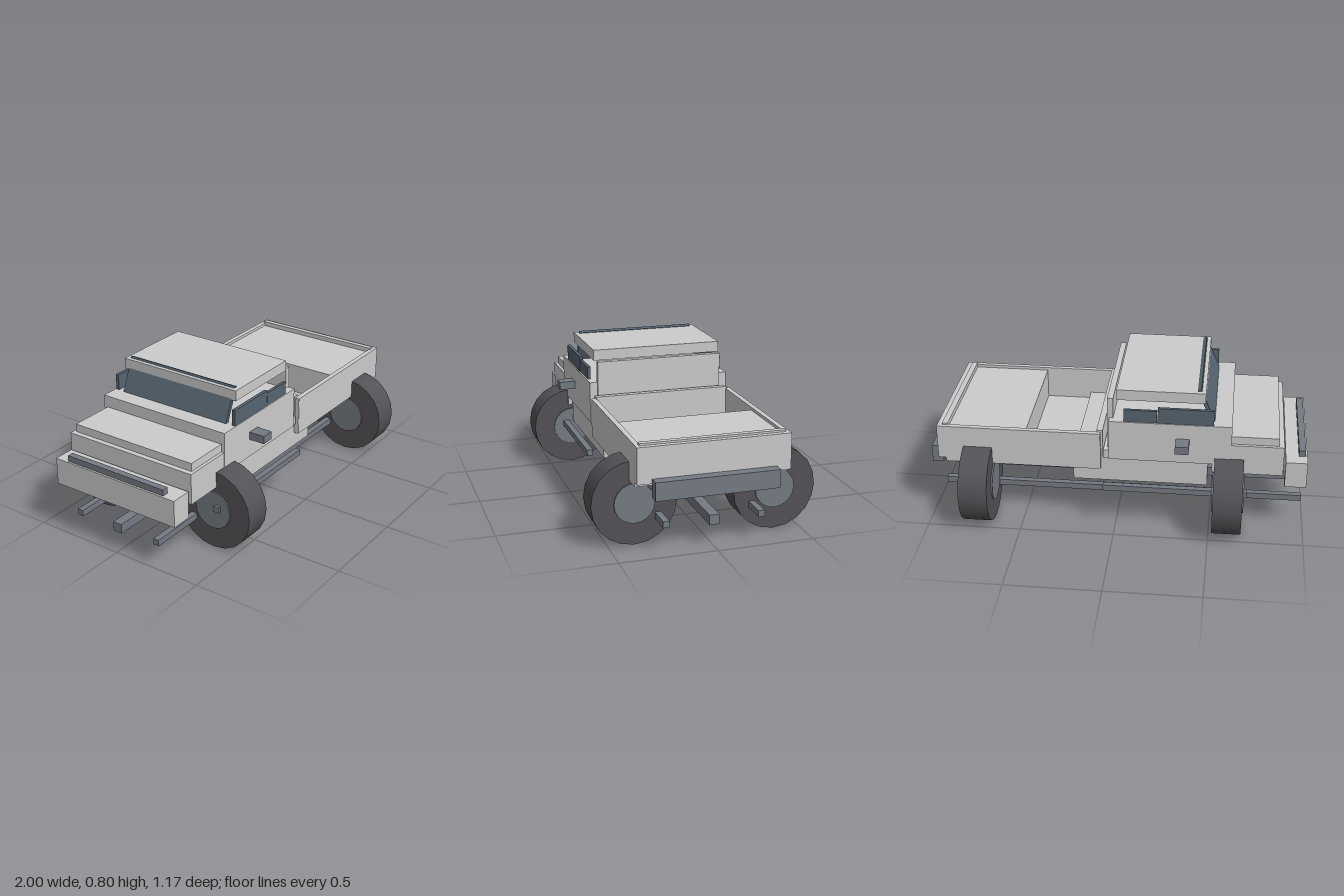
import * as THREE from 'three';

const paint = new THREE.MeshStandardMaterial({ color: 0xcccccc });
const rubber = new THREE.MeshStandardMaterial({ color: 0x545257 });
const metal = new THREE.MeshStandardMaterial({ color: 0x767a83 });
const glass = new THREE.MeshStandardMaterial({ color: 0x566470 });

export function createModel() {
  const model = new THREE.Group();
  model.name = 'pickupTruck';

  const add = (name, geometry, material, x, y, z) => {
    const mesh = new THREE.Mesh(geometry, material);
    mesh.name = name;
    mesh.position.set(x, y, z);
    model.add(mesh);
    return mesh;
  };
  // box from its limits on each axis
  const block = (name, [x0, x1], [y0, y1], [z0, z1], material = paint) =>
    add(name, new THREE.BoxGeometry(x1 - x0, y1 - y0, z1 - z0), material,
      (x0 + x1) / 2, (y0 + y1) / 2, (z0 + z1) / 2);
  // box centred across the width
  const wide = (name, xs, ys, half, material) => block(name, xs, ys, [-half, half], material);

  // nose
  wide('hoodBase', [-0.875, -0.505], [0.35, 0.515], 0.384);
  wide('hoodTop', [-0.848, -0.6], [0.515, 0.558], 0.367);
  wide('frontBumper', [-1, -0.887], [0.28, 0.425], 0.375);
  wide('bumperBar', [-0.99, -0.955], [0.425, 0.458], 0.302, metal);

  // cab
  wide('cabBody', [-0.603, 0.035], [0.4, 0.622], 0.387);
  wide('cabFloor', [-0.483, 0.225], [0.258, 0.4], 0.365);
  wide('cabRearSill', [0.03, 0.065], [0.4, 0.447], 0.38);
  wide('cabRearWall', [0.015, 0.046], [0.44, 0.735], 0.345);
  wide('roof', [-0.462, -0.003], [0.733, 0.79], 0.355);

  // raked windshield whose top edge reaches through the roof
  const windshield = add('windshield', new THREE.BoxGeometry(0.02, 0.21, 0.66), glass, -0.468, 0.7, 0);
  windshield.rotation.z = -0.4;

  // load bed
  wide('bedFloor', [0.08, 0.905], [0.338, 0.365], 0.39);
  wide('bedHeader', [0.068, 0.1], [0.4, 0.558], 0.37);
  wide('bedFrontWall', [0.078, 0.1], [0.338, 0.545], 0.39);
  wide('bedPlatform', [0.475, 0.905], [0.365, 0.53], 0.367);
  wide('tailgate', [0.905, 0.945], [0.36, 0.546], 0.392);
  wide('tailgateLip', [0.888, 0.918], [0.5, 0.556], 0.372);
  wide('rearBumper', [0.94, 1], [0.29, 0.384], 0.317, metal);

  // frame rail under the middle
  wide('centreRail', [-0.985, 0.943], [0.115, 0.166], 0.026, metal);

  for (const s of [1, -1]) {
    const side = s > 0 ? 'front' : 'back';
    const pair = (name, xs, ys, near, far, material) =>
      block(side + name, xs, ys, s > 0 ? [near, far] : [-far, -near], material);

    pair('BedSide', [0.08, 0.905], [0.338, 0.546], 0.365, 0.392);
    pair('WindowLarge', [-0.508, -0.219], [0.6, 0.707], 0.364, 0.382, glass);
    pair('WindowSmall', [-0.215, -0.042], [0.6, 0.69], 0.364, 0.38, glass);
    pair('SideMirror', [-0.385, -0.315], [0.497, 0.54], 0.38, 0.474, metal);
    pair('RunningBoard', [-0.695, 0.065], [0.222, 0.254], 0.383, 0.416, metal);
    pair('SideRail', [-0.985, 0.943], [0.127, 0.16], 0.229, 0.262, metal);

    // wheels, with their axles along the length of the truck
    for (const [end, x] of [['Nose', -0.595], ['Tail', 0.731]]) {
      for (const [part, radius, width, material] of [
        ['Tire', 0.218, 0.152, rubber], ['Hub', 0.104, 0.168, metal]]) {
        const geometry = new THREE.CylinderGeometry(radius, radius, width, 20);
        geometry.rotateZ(Math.PI / 2);
        add(side + end + part, geometry, material, x, 0.219, s * 0.366);
      }
    }
  }
  return model;
}
